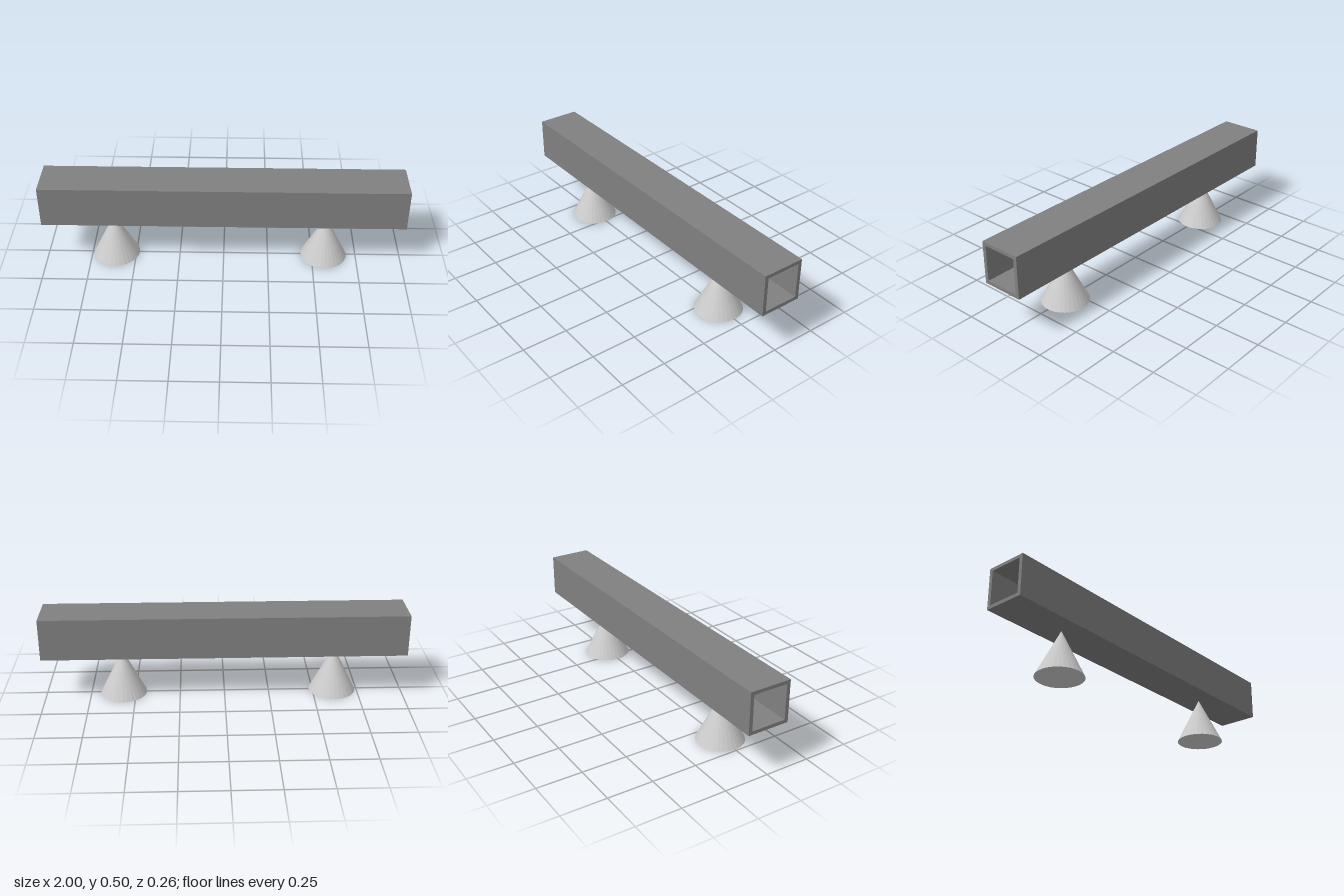
import * as THREE from 'three';

// Closed rectangular outline from two corners
function rect(Type, x0, y0, x1, y1) {
  const path = new Type();
  path.moveTo(x0, y0);
  path.lineTo(x1, y0);
  path.lineTo(x1, y1);
  path.lineTo(x0, y1);
  path.closePath();
  return path;
}

export function createModel() {
  const model = new THREE.Group();

  // Hollow square beam: section drawn in (-z, y), extruded along x
  const section = rect(THREE.Shape, -0.106, 0.264, 0.128, 0.498);
  section.holes.push(rect(THREE.Path, -0.086, 0.283, 0.108, 0.479));
  const beamGeometry = new THREE.ExtrudeGeometry(section, { depth: 2, bevelEnabled: false });
  beamGeometry.translate(0, 0, -1).rotateY(Math.PI / 2);
  const beam = new THREE.Mesh(beamGeometry, new THREE.MeshStandardMaterial({ color: 0x808080 }));
  beam.name = 'hollowBeam';
  model.add(beam);

  // Two cone supports with their tips just under the beam
  const height = 0.262;
  const coneGeometry = new THREE.ConeGeometry(0.13, height, 30);
  const coneMaterial = new THREE.MeshStandardMaterial({ color: 0xcccccc, flatShading: true });
  for (const [name, x] of [['rightSupport', -0.611], ['leftSupport', 0.568]]) {
    const cone = new THREE.Mesh(coneGeometry, coneMaterial);
    cone.name = name;
    cone.position.set(x, height / 2, 0);
    model.add(cone);
  }

  return model;
}
